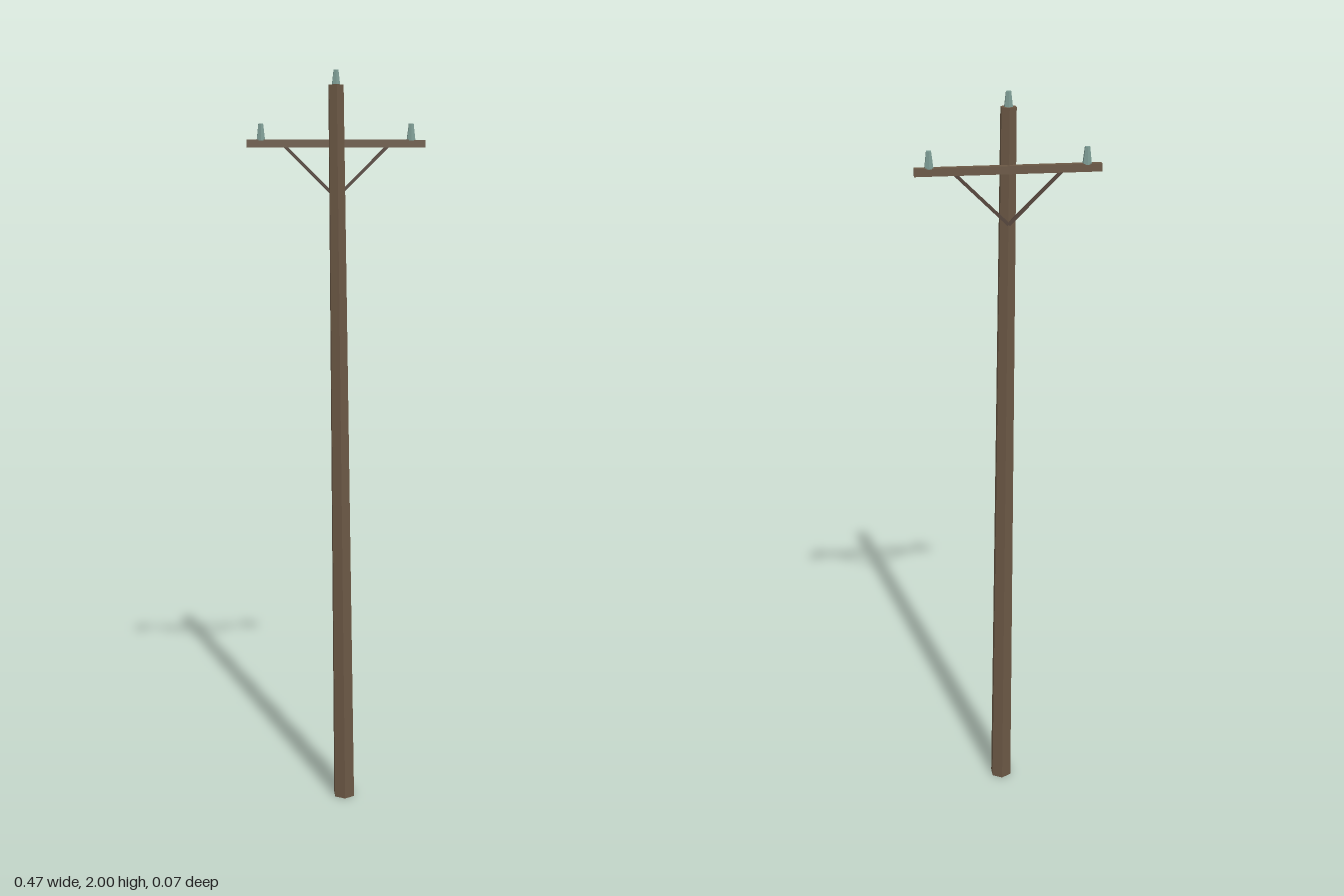
import * as THREE from 'three';

const material = (color) => new THREE.MeshStandardMaterial({ color, flatShading: true });

export function createModel() {
  const model = new THREE.Group();
  const wood = material(0x6b5845);
  const darkWood = material(0x54443a);
  const glass = material(0x7d9c94);

  const add = (name, geometry, mat, x, y, z) => {
    const mesh = new THREE.Mesh(geometry, mat);
    mesh.name = name;
    mesh.position.set(x, y, z);
    model.add(mesh);
    return mesh;
  };

  // Tapered six-sided pole, sheared so it leans while both ends stay level
  const height = 1.963, topX = -0.003, baseX = 0.02;
  const poleGeometry = new THREE.CylinderGeometry(0.0215, 0.031, height, 6);
  poleGeometry.translate(0, height / 2, 0);
  const p = poleGeometry.attributes.position;
  for (let i = 0; i < p.count; i++) {
    p.setX(i, p.getX(i) + THREE.MathUtils.lerp(baseX, topX, p.getY(i) / height));
  }
  poleGeometry.computeVertexNormals();
  add('pole', poleGeometry, wood, 0, 0, 0);

  // Crossarm on the back of the pole
  const armZ = -0.0225;
  add('crossarm', new THREE.BoxGeometry(0.466, 0.02, 0.017), wood, 0, 1.815, armZ);

  // Diagonal braces under the crossarm
  for (const side of [-1, 1]) {
    const a = new THREE.Vector2(side * 0.134, 1.808);
    const b = new THREE.Vector2(0, 1.677);
    const brace = add(side > 0 ? 'leftBrace' : 'rightBrace',
      new THREE.BoxGeometry(a.distanceTo(b), 0.008, 0.008), darkWood,
      (a.x + b.x) / 2, (a.y + b.y) / 2, armZ);
    brace.rotation.z = Math.atan2(a.y - b.y, a.x - b.x);
  }

  // Tapered six-sided insulators
  const insulatorGeometry = new THREE.CylinderGeometry(0.007, 0.0125, 0.043, 6);
  const insulator = (name, x, top, z) => add(name, insulatorGeometry, glass, x, top - 0.0215, z);
  insulator('topInsulator', topX, 2, 0);
  insulator('leftInsulator', 0.196, 1.866, armZ);
  insulator('rightInsulator', -0.196, 1.866, armZ);

  return model;
}
